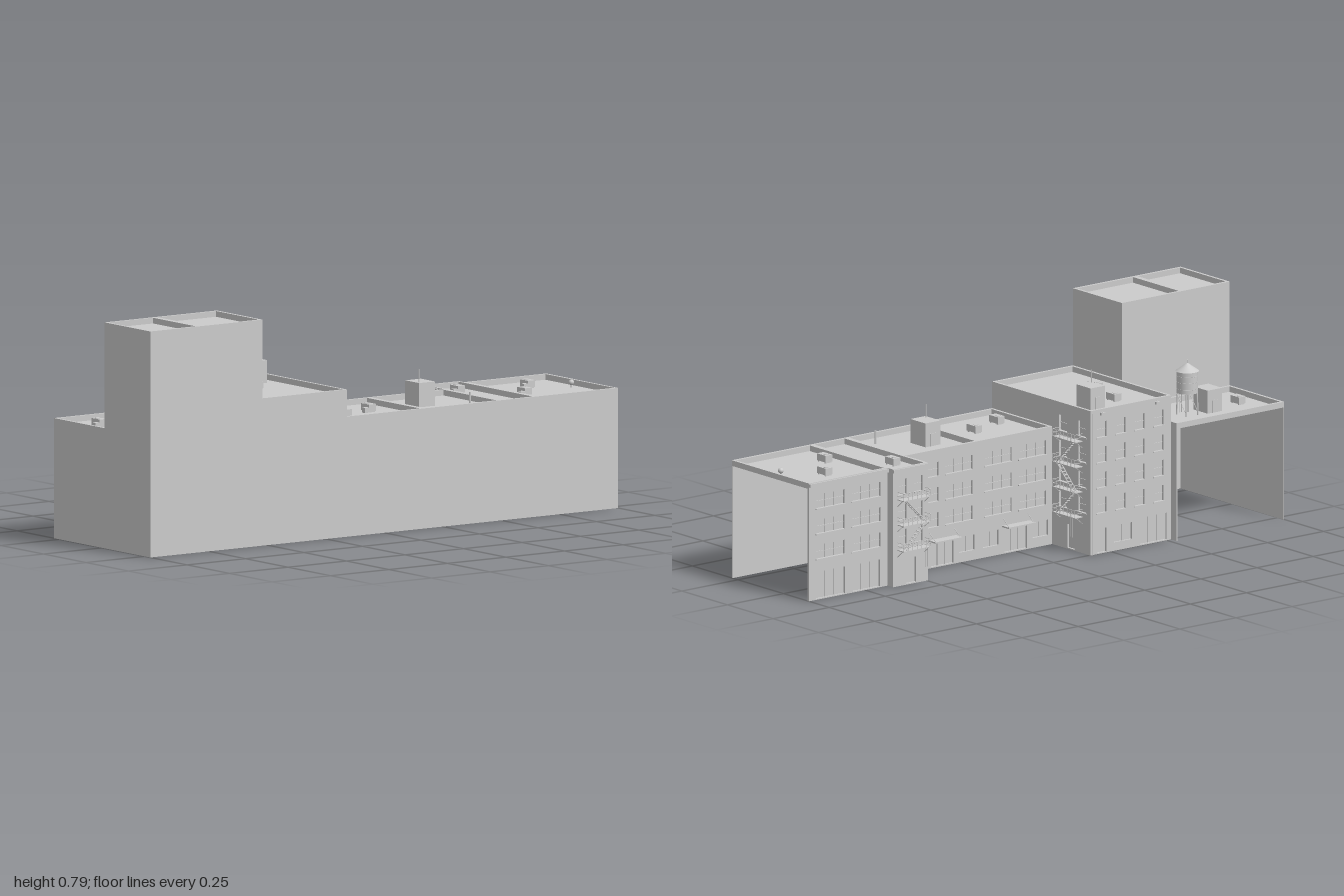
import * as THREE from 'three';

const mat = new THREE.MeshStandardMaterial({ color: 0xcccccc, side: THREE.DoubleSide });
const PARAPET = 0.02;

function add(parent, name, geo, x = 0, y = 0, z = 0) {
  const m = new THREE.Mesh(geo, mat);
  m.name = name;
  m.position.set(x, y, z);
  parent.add(m);
  return m;
}

function group(parent, name, x = 0, y = 0, z = 0, ry = 0) {
  const g = new THREE.Group();
  g.name = name;
  g.position.set(x, y, z);
  g.rotation.y = ry;
  parent.add(g);
  return g;
}

// box given by its limits on each axis
function block(parent, name, x0, x1, y0, y1, z0, z1) {
  return add(parent, name, new THREE.BoxGeometry(x1 - x0, y1 - y0, z1 - z0),
    (x0 + x1) / 2, (y0 + y1) / 2, (z0 + z1) / 2);
}

// thin round bar between two points
function bar(parent, name, a, b, r = 0.0012) {
  const p = new THREE.Vector3(...a), q = new THREE.Vector3(...b);
  const m = add(parent, name, new THREE.CylinderGeometry(r, r, p.distanceTo(q), 6));
  m.position.copy(p).add(q).multiplyScalar(0.5);
  m.quaternion.setFromUnitVectors(new THREE.Vector3(0, 1, 0), q.sub(p).normalize());
}

const polygon = pts => new THREE.Shape(pts.map(p => new THREE.Vector2(...p)));
const rect = (x0, y0, x1, y1) => [[x0, y0], [x1, y0], [x1, y1], [x0, y1]];
const extrude = (shape, depth) => new THREE.ExtrudeGeometry(shape, { depth, bevelEnabled: false });

// wall with openings [centre, bottom, width, height]; local x runs along it, +z is outwards
function facade(parent, name, place, w, h, openings) {
  const g = group(parent, name, ...place), t = 0.01;
  const shape = polygon(rect(0, 0, w, h));
  for (const [u, v, ow, oh] of openings)
    shape.holes.push(polygon(rect(u - ow / 2, v, u + ow / 2, v + oh)));
  add(g, 'wall', extrude(shape, t), 0, 0, -t);
  for (const [u, v, ow, oh] of openings) {
    add(g, 'pane', new THREE.PlaneGeometry(ow, oh), u, v + oh / 2, -0.008);
    const n = Math.max(1, Math.round(ow / 0.04));
    for (let i = 1; i < n; i++)
      block(g, 'mullion', u - ow / 2 + ow * i / n - 0.001, u - ow / 2 + ow * i / n + 0.001, v, v + oh, -0.008, -0.005);
    if (v > 0.1) {
      block(g, 'sill', u - ow / 2 - 0.003, u + ow / 2 + 0.003, v - 0.004, v, -0.005, 0.003);
      block(g, 'sash', u - ow / 2, u + ow / 2, v + oh / 2 - 0.001, v + oh / 2 + 0.001, -0.008, -0.005);
    }
  }
  return g;
}

// regular grid of windows
function windows(columns, floors, w, h) {
  const out = [];
  for (let f = 0; f < floors; f++) for (const u of columns) out.push([u, 0.145 + f * 0.09, w, h]);
  return out;
}

// roof deck inside a raised rim
function roof(parent, name, x0, x1, z0, z1, h) {
  const g = group(parent, name), w = 0.01;
  const ring = polygon(rect(x0, -z1, x1, -z0));
  ring.holes.push(polygon(rect(x0 + w, -z1 + w, x1 - w, -z0 - w)));
  add(g, 'parapet', extrude(ring, PARAPET).rotateX(-Math.PI / 2), 0, h - PARAPET, 0);
  add(g, 'deck', new THREE.PlaneGeometry(x1 - x0, z1 - z0).rotateX(-Math.PI / 2),
    (x0 + x1) / 2, h - PARAPET, (z0 + z1) / 2);
}

// rooftop cooling unit with a bent duct
function coolingUnit(parent, x, y, z) {
  const g = group(parent, 'coolingUnit', x, y, z);
  block(g, 'housing', -0.024, 0.024, 0.004, 0.028, -0.022, 0.008);
  block(g, 'duct', 0.006, 0.024, 0, 0.018, 0.008, 0.026);
  for (const s of [-1, 1]) block(g, 'foot', s * 0.018 - 0.003, s * 0.018 + 0.003, 0, 0.004, -0.02, 0.006);
  add(g, 'fan', new THREE.CylinderGeometry(0.009, 0.009, 0.003, 12), -0.008, 0.0285, -0.007);
}

// platforms, railings and zigzag stairs; same local axes as a facade
function fireEscape(parent, place, levels, w, d) {
  const g = group(parent, 'fireEscape', ...place), a = w / 2, rail = 0.026;
  levels.forEach((y, i) => {
    block(g, 'platform', -a, a, y - 0.003, y, 0, d);
    for (const r of [rail / 2, rail]) {
      bar(g, 'rail', [-a, y + r, d], [a, y + r, d]);
      for (const s of [-a, a]) bar(g, 'rail', [s, y + r, 0], [s, y + r, d]);
    }
    for (let k = 0; k <= 6; k++) bar(g, 'post', [-a + w * k / 6, y, d], [-a + w * k / 6, y + rail, d]);
    for (const s of [-a, a]) bar(g, 'bracket', [s, y - 0.025, 0], [s, y, d * 0.9]);
    if (i === levels.length - 1) return;
    const s = i % 2 ? -1 : 1, top = levels[i + 1];
    for (const z of [d * 0.4, d * 0.85])
      bar(g, 'stringer', [-s * a * 0.75, y, z], [s * a * 0.75, top, z], 0.002);
    for (let k = 1; k < 9; k++) {
      const x = s * a * 0.75 * (k / 4.5 - 1), ty = y + (top - y) * k / 9;
      block(g, 'tread', x - 0.004, x + 0.004, ty - 0.001, ty + 0.001, d * 0.4, d * 0.85);
    }
  });
  for (const x of [-0.006, 0.006]) bar(g, 'ladder', [a * 0.7 + x, 0.06, d], [a * 0.7 + x, levels[0], d]);
}

// stair house on a roof, optionally with a mast
function stairHouse(parent, x0, x1, y0, y1, z0, z1, mast) {
  const g = group(parent, 'stairHouse');
  block(g, 'housing', x0, x1, y0, y1, z0, z1);
  block(g, 'door', x0 - 0.002, x0, y0, y0 + 0.045, (z0 + z1) / 2 - 0.013, (z0 + z1) / 2 + 0.013);
  if (mast) bar(g, 'mast', [x1 - 0.015, y1, z1 - 0.01], [x1 - 0.015, y1 + 0.047, z1 - 0.01], 0.0015);
}

export function createModel() {
  const model = new THREE.Group();
  model.name = 'cityBlock';
  const X = 0.284, L = 0.42, M = 0.515, H = 0.79, W = -Math.PI / 2;

  // plain outer walls: long rear side and block end
  const side = polygon([[-1, 0], [1, 0], [1, L], [-0.16, L], [-0.16, M], [-0.52, M], [-0.52, H], [-1, H]]);
  add(model, 'longWall', extrude(side, 0.004).rotateY(Math.PI / 2), X - 0.004, 0, 0);
  const end = polygon([[-X, 0], [X, 0], [X, H], [0.015, H], [0.015, L], [-X, L]]);
  add(model, 'endWall', extrude(end, 0.004), 0, 0, 0.996);

  // roofs
  roof(model, 'backRoof', -0.14, X, -1, -0.65, L);
  roof(model, 'narrowRoof', -0.17, X, -0.65, -0.495, L);
  roof(model, 'middleRoofA', -0.045, X, -0.495, -0.168, L);
  roof(model, 'middleRoofB', -0.045, X, -0.168, 0.16, L);
  roof(model, 'cornerRoof', -0.255, X, 0.16, 0.52, M);
  roof(model, 'frontRoof', -X, 0.015, 0.52, 1, L);
  roof(model, 'towerRoofA', 0.015, X, 0.52, 0.79, H);
  roof(model, 'towerRoofB', 0.015, X, 0.79, 1, H);

  // upper walls that rise above lower neighbours
  block(model, 'towerSideWall', 0.015, 0.019, L - PARAPET, H, 0.52, 1);
  block(model, 'towerBackWall', 0.015, X, M - PARAPET, H, 0.52, 0.524);
  block(model, 'cornerUpperWall', -0.255, 0.015, L - PARAPET, M, 0.516, 0.52);
  block(model, 'cornerBackUpperWall', -0.045, X, L - PARAPET, M, 0.16, 0.164);
  block(model, 'returnWall', -X, -0.255, 0, L, 0.52, 0.524);

  // street facades
  facade(model, 'backFacade', [-0.14, 0, -1, W], 0.35, L, [
    ...windows([0.095, 0.255], 3, 0.125, 0.05), [0.095, 0.004, 0.13, 0.095], [0.255, 0.004, 0.12, 0.095]]);
  facade(model, 'narrowFacade', [-0.17, 0, -0.65, W], 0.155, L, [
    ...windows([0.042, 0.113], 3, 0.036, 0.055), [0.08, 0.004, 0.045, 0.09]]);
  facade(model, 'narrowBackReturn', [-0.14, 0, -0.65, Math.PI], 0.03, L, []);
  facade(model, 'narrowFrontReturn', [-0.17, 0, -0.495, 0], 0.125, L, [
    ...windows([0.062], 3, 0.045, 0.055), [0.062, 0.035, 0.045, 0.055]]);
  for (const z of [-0.495, -0.168]) {
    facade(model, 'middleFacade', [-0.045, 0, z, W], 0.328, L, [
      ...windows([0.088, 0.24], 3, 0.12, 0.05),
      [0.165, 0.004, 0.1, 0.085], [0.055, 0.035, 0.07, 0.055], [0.275, 0.035, 0.07, 0.055]]);
    block(model, 'canopy', -0.082, -0.045, 0.096, 0.101, z + 0.105, z + 0.226);
    for (const dz of [0.11, 0.22]) bar(model, 'canopyRod', [-0.045, 0.125, z + dz], [-0.079, 0.1, z + dz]);
  }
  facade(model, 'cornerFacade', [-0.255, 0, 0.16, W], 0.36, M, [
    ...windows([0.05, 0.135, 0.22, 0.305], 4, 0.042, 0.055),
    [0.05, 0.004, 0.042, 0.085], [0.145, 0.03, 0.08, 0.06], [0.28, 0.004, 0.12, 0.095]]);
  facade(model, 'cornerBackFacade', [-0.045, 0, 0.16, Math.PI], 0.21, M, [
    ...windows([0.06, 0.165], 4, 0.042, 0.055), [0.105, 0.004, 0.042, 0.085]]);

  // cornices, downpipe and facade lamps
  block(model, 'cornice', -0.147, -0.14, L - 0.014, L - 0.002, -1, -0.65);
  block(model, 'cornice', -0.175, -0.17, L - 0.014, L - 0.002, -0.65, -0.495);
  block(model, 'cornice', -0.135, -0.08, L - 0.014, L - 0.002, -0.495, -0.488);
  bar(model, 'downpipe', [-0.258, 0, 0.166], [-0.258, 0.505, 0.166], 0.002);
  for (const z of [0.212, 0.456]) {
    bar(model, 'lampArm', [-0.255, 0.505, z], [-0.262, 0.502, z]);
    block(model, 'lamp', -0.264, -0.256, 0.494, 0.503, z - 0.009, z + 0.009);
  }

  // fire escapes
  fireEscape(model, [-0.17, 0, -0.57, W], [0.13, 0.22, 0.31], 0.12, 0.034);
  fireEscape(model, [-0.15, 0, 0.16, Math.PI], [0.13, 0.22, 0.31, 0.4], 0.122, 0.034);

  // roof equipment
  const lo = L - PARAPET, mid = M - PARAPET;
  for (const [x, z, y] of [[-0.015, -0.822, lo], [0.125, -0.708, lo], [-0.055, -0.552, lo], [0.12, -0.045, lo],
    [0.17, 0.095, lo], [-0.02, 0.335, mid], [-0.126, 0.375, mid], [0.03, 0.42, mid], [-0.14, 0.918, lo]])
    coolingUnit(model, x, y, z);
  stairHouse(model, 0.063, 0.145, lo, 0.485, -0.317, -0.25, true);
  stairHouse(model, -0.191, -0.113, mid, 0.575, 0.213, 0.278, true);
  stairHouse(model, -0.186, -0.11, lo, 0.482, 0.738, 0.803, false);
  bar(model, 'ventPipe', [0.21, lo, -0.42], [0.21, 0.447, -0.42], 0.004);
  bar(model, 'ventStalk', [0.07, lo, -0.955], [0.07, 0.418, -0.955], 0.003);
  add(model, 'ventCap', new THREE.SphereGeometry(0.01, 12, 8), 0.07, 0.418, -0.955);

  // water tank on legs
  const tank = group(model, 'waterTank', -0.15, 0, 0.677);
  add(tank, 'barrel', new THREE.CylinderGeometry(0.037, 0.037, 0.077, 24), 0, 0.518, 0);
  add(tank, 'tankRoof', new THREE.ConeGeometry(0.041, 0.029, 24), 0, 0.571, 0);
  bar(tank, 'finial', [0, 0.58, 0], [0, 0.595, 0], 0.002);
  for (const y of [0.495, 0.518, 0.54])
    add(tank, 'hoop', new THREE.TorusGeometry(0.037, 0.0008, 4, 24).rotateX(Math.PI / 2), 0, y, 0);
  for (const sx of [-1, 1]) for (const sz of [-1, 1])
    bar(tank, 'leg', [sx * 0.026, lo, sz * 0.026], [sx * 0.024, 0.482, sz * 0.024], 0.003);
  for (const s of [-1, 1]) {
    bar(tank, 'brace', [-0.026, 0.41, s * 0.026], [0.026, 0.475, s * 0.026]);
    bar(tank, 'ladder', [0.036 + 0.002, lo, s * 0.005], [0.038, 0.555, s * 0.005]);
  }
  return model;
}
